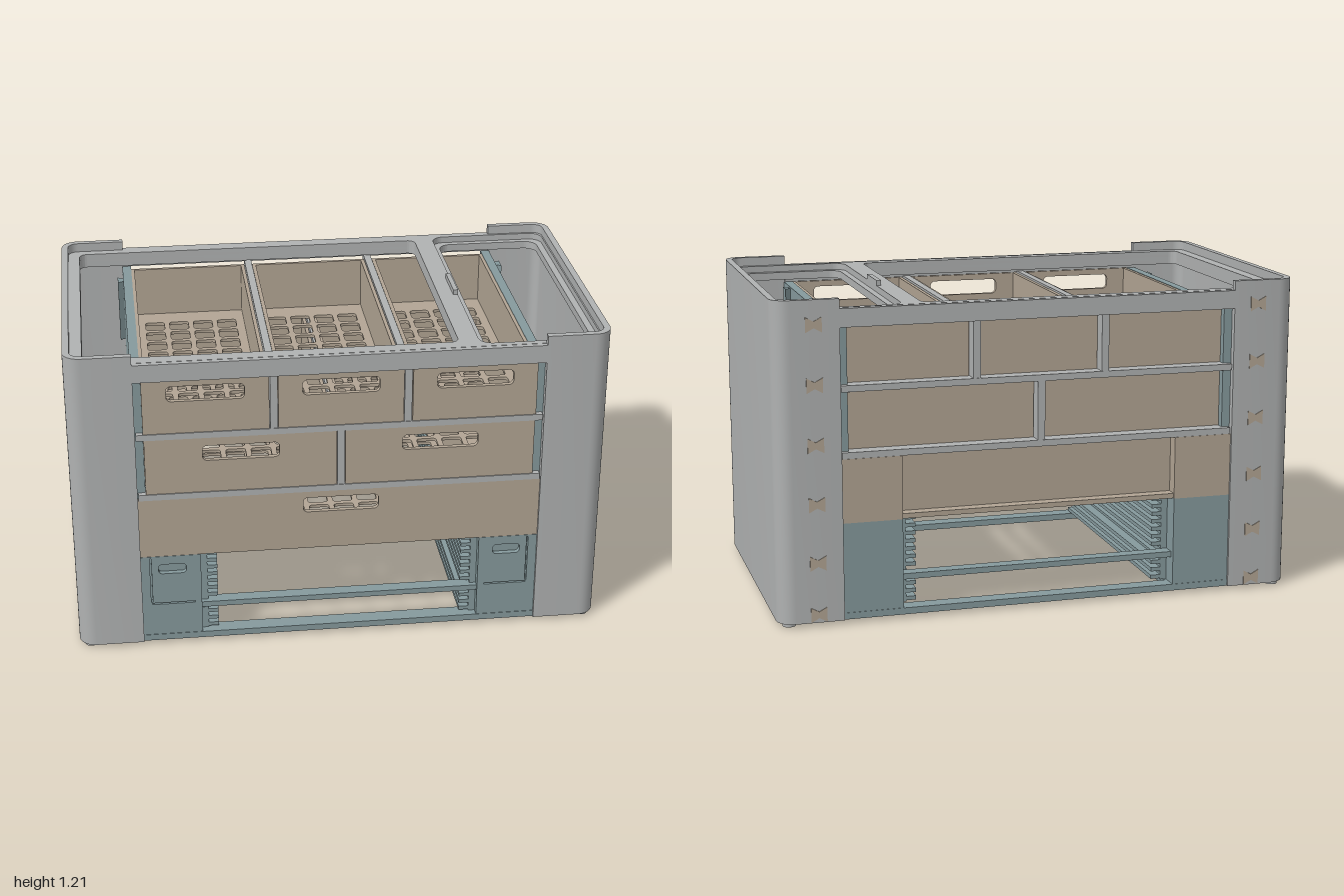
import * as THREE from 'three';
import { toCreasedNormals } from 'three/addons/utils/BufferGeometryUtils.js';

const mat = (name, color) => {
  const m = new THREE.MeshStandardMaterial({ color });
  m.name = name;
  return m;
};

// Rounded rectangle outline, used for shapes and holes
function roundRect(path, x0, x1, y0, y1, r) {
  path.moveTo(x0 + r, y0);
  path.lineTo(x1 - r, y0);
  path.absarc(x1 - r, y0 + r, r, -Math.PI / 2, 0, false);
  path.lineTo(x1, y1 - r);
  path.absarc(x1 - r, y1 - r, r, 0, Math.PI / 2, false);
  path.lineTo(x0 + r, y1);
  path.absarc(x0 + r, y1 - r, r, Math.PI / 2, Math.PI, false);
  path.lineTo(x0, y0 + r);
  path.absarc(x0 + r, y0 + r, r, Math.PI, Math.PI * 1.5, false);
  return path;
}
const rect = (x0, x1, y0, y1) => new THREE.Shape([[x0, y0], [x1, y0], [x1, y1], [x0, y1]].map(p => new THREE.Vector2(...p)));
const hole = (x0, x1, y0, y1, r) => roundRect(new THREE.Path(), x0, x1, y0, y1, r);

export function createModel() {
  const model = new THREE.Group();
  model.name = 'drawerCabinet';
  const grey = mat('shellGrey', 0xb0b2b2);
  const taupe = mat('drawerTaupe', 0xb2a594);
  const teal = mat('panelTeal', 0x869a9d);

  function add(name, geo, m, parent = model) {
    const mesh = new THREE.Mesh(geo, m);
    mesh.name = name;
    parent.add(mesh);
    return mesh;
  }
  function box(name, x0, x1, y0, y1, z0, z1, m, parent) {
    const g = new THREE.BoxGeometry(x1 - x0, y1 - y0, z1 - z0);
    g.translate((x0 + x1) / 2, (y0 + y1) / 2, (z0 + z1) / 2);
    return add(name, g, m, parent);
  }
  // Shape drawn in plan (shape y = -z), raised from y0 to y1
  function plan(name, shape, y0, y1, m, parent, seg = 8) {
    const g = new THREE.ExtrudeGeometry(shape, { depth: y1 - y0, bevelEnabled: false, curveSegments: seg });
    g.rotateX(-Math.PI / 2).translate(0, y0, 0);
    return add(name, toCreasedNormals(g, 0.6), m, parent);
  }
  // Shape drawn in front elevation, deepened from z0 to z1
  function face(name, shape, z0, z1, m, parent) {
    const g = new THREE.ExtrudeGeometry(shape, { depth: z1 - z0, bevelEnabled: false, curveSegments: 5 });
    g.translate(0, 0, z0);
    return add(name, toCreasedNormals(g, 0.6), m, parent);
  }

  // Side shells: thin C-shaped walls with rounded corners, corner floors and feet
  for (const s of [1, -1]) {
    const side = new THREE.Group();
    side.name = s > 0 ? 'leftShell' : 'rightShell';
    model.add(side);
    const c = new THREE.Shape();
    const X = x => s * x;
    const arc = (x, y, r, a0, a1) => {
      for (let i = 0; i <= 8; i++) {
        const a = a0 + (a1 - a0) * i / 8;
        c.lineTo(X(x + r * Math.cos(a)), y + r * Math.sin(a));
      }
    };
    c.moveTo(X(0.755), -0.58);
    arc(0.935, -0.515, 0.065, -Math.PI / 2, 0);
    arc(0.935, 0.515, 0.065, 0, Math.PI / 2);
    c.lineTo(X(0.755), 0.58);
    c.lineTo(X(0.755), 0.555);
    arc(0.935, 0.515, 0.04, Math.PI / 2, 0);
    arc(0.935, -0.515, 0.04, 0, -Math.PI / 2);
    c.lineTo(X(0.755), -0.555);
    plan('shellWall', c, 0.015, 1.21, grey, side);

    const [a, b] = [X(0.755), X(0.985)].sort((p, q) => p - q);
    const [e, f] = [X(0.93), X(0.985)].sort((p, q) => p - q);
    for (const t of [1, -1]) {
      box('shellFloor', a, b, 0.016, 0.035, t > 0 ? 0.315 : -0.545, t > 0 ? 0.545 : -0.315, grey, side);
      const foot = add('foot', new THREE.CylinderGeometry(0.025, 0.025, 0.018, 20), grey, side);
      foot.position.set(X(0.955), 0.009, t * 0.535);
    }
    box('shellFloorEdge', e, f, 0.016, 0.035, -0.32, 0.32, grey, side);

    // Dovetail inlays up the back corner
    for (let i = 0; i < 6; i++) {
      const y = Math.max(1.12 - i * 0.22, 0.045);
      const d = new THREE.Shape([[-0.03, -0.028], [0, -0.012], [0.03, -0.028], [0.03, 0.028], [0, 0.012], [-0.03, 0.028]]
        .map(p => new THREE.Vector2(p[0] + X(0.85), p[1] + y)));
      face('backDovetail', d, -0.583, -0.579, taupe, side);
    }

    // Teal side panel with its joint keys
    const [p0, p1] = [X(0.725), X(0.76)].sort((p, q) => p - q);
    box('sidePanel', p0, p1, 0.018, 1.105, -0.55, 0.55, teal, side);
    for (const z of [-0.415, 0.415]) {
      const k = new THREE.Shape([[0.755, -0.012], [0.782, -0.028], [0.782, 0.028], [0.755, 0.012]]
        .map(p => new THREE.Vector2(X(p[0]), p[1] - z)));
      plan('panelKey', k, 0.85, 1.1, teal, side);
    }

    // Lower block with a small slotted front
    const [l0, l1] = [X(0.53), X(0.756)].sort((p, q) => p - q);
    box('lowerBlock', l0, l1, 0.018, 0.38, -0.57, 0.55, teal, side);
    const front = rect(l0, l1, 0.018, 0.38);
    const [h0, h1] = [X(0.585), X(0.69)].sort((p, q) => p - q);
    front.holes.push(hole(h0, h1, 0.305, 0.345, 0.015));
    const [g0, g1] = [X(0.555), X(0.718)].sort((p, q) => p - q);
    front.holes.push(rect(g0, g1, 0.172, 0.178));
    const [v0, v1] = [X(0.716), X(0.722)].sort((p, q) => p - q);
    front.holes.push(rect(v0, v1, 0.182, 0.372));
    face('lowerBlockFront', front, 0.55, 0.57, teal, side);

    // Slotted runners for trays
    const [r0, r1] = [X(0.505), X(0.532)].sort((p, q) => p - q);
    const [t0, t1] = [X(0.467), X(0.51)].sort((p, q) => p - q);
    box('runnerBack', r0, r1, 0.165, 0.375, -0.5, 0.54, teal, side);
    box('runnerBackLow', r0, r1, 0.04, 0.13, -0.5, 0.54, teal, side);
    for (let i = 0; i < 10; i++) {
      const y = i < 7 ? 0.178 + i * 0.03 : 0.045 + (i - 7) * 0.03;
      box('runnerTooth', t0, t1, y, y + 0.015, -0.5, 0.54, teal, side);
    }

    // Housing beside the bottom tray
    box('trayHousing', l0, l1, 0.38, 0.62, -0.57, 0.55, taupe, side);
    // Side rails under the drawers
    for (const y of [0.875, 0.632]) {
      const [q0, q1] = [X(0.7), X(0.752)].sort((p, q) => p - q);
      box('drawerRail', q0, q1, y - 0.01, y + 0.01, -0.56, 0.56, grey, side);
    }
  }

  // Base frame and cross bars
  const base = rect(-0.757, 0.757, -0.572, 0.572);
  base.holes.push(rect(-0.52, 0.52, -0.51, 0.51));
  plan('baseFrame', base, 0.015, 0.04, teal);
  for (const z of [-0.525, 0.535]) box('crossBar', -0.535, 0.535, 0.143, 0.165, z - 0.025, z + 0.025, teal);

  // Top frame in two layers, the right-hand well having a ledge
  for (const [y0, y1, g] of [[1.15, 1.175, 0.025], [1.12, 1.15, 0]]) {
    const top = roundRect(new THREE.Shape(), -0.98, 0.98, -0.56, 0.56, 0.045);
    top.holes.push(hole(-0.93, 0.44, -0.51, 0.52, 0.03));
    top.holes.push(hole(0.54 - g, 0.945 + g, -0.51 - g, 0.52 + g, 0.05));
    plan('topFrame', top, y0, y1, grey);
  }
  for (const t of [1, -1]) box('topApron', -0.757, 0.757, 1.105, 1.174, t > 0 ? 0.549 : -0.58, t > 0 ? 0.58 : -0.549, grey);
  box('topTab', 0.497, 0.515, 1.17, 1.195, -0.1, 0.07, grey);

  // Shelf bars and dividers
  for (const y of [0.88, 0.633])
    for (const z of [-0.54, 0.54]) box('shelfBar', -0.752, 0.752, y - 0.012, y + 0.012, z - 0.032, z + 0.032, grey);
  for (const x of [-0.247, 0.247]) box('upperDivider', x - 0.014, x + 0.014, 0.88, 1.11, -0.57, 0.57, grey);
  box('middleDivider', -0.014, 0.014, 0.635, 0.88, -0.57, 0.57, grey);

  // Open drawer with perforated floor and slotted front
  function drawer(name, x0, x1, y0, y1, slotY, cols, fx0 = x0, fx1 = x1) {
    const d = new THREE.Group();
    d.name = name;
    model.add(d);
    const cx = (x0 + x1) / 2, w = 0.014;
    const floor = rect(x0, x1, -0.555, 0.52);
    for (let i = 0; i < cols; i++)
      for (let j = 0; j < 10; j++) {
        const x = cx + (i - (cols - 1) / 2) * 0.097, y = 0.375 - j * 0.097;
        floor.holes.push(hole(x - 0.038, x + 0.038, y - 0.038, y + 0.038, 0.012));
      }
    plan('perforatedFloor', floor, y0 + 0.002, y0 + 0.014, taupe, d, 2);
    box('drawerSide', x0, x0 + w, y0, y1, -0.52, 0.556, taupe, d);
    box('drawerSide', x1 - w, x1, y0, y1, -0.52, 0.556, taupe, d);
    box('drawerBack', x0, x1, y0, y1, -0.521, -0.507, taupe, d);
    const front = rect(fx0, fx1, y0, y1);
    front.holes.push(hole(cx - 0.142, cx + 0.142, slotY - 0.03, slotY + 0.03, 0.018));
    face('drawerFront', front, 0.552, 0.57, taupe, d);
  }
  for (const x of [-0.495, 0, 0.495]) drawer('upperDrawer', x - 0.231, x + 0.231, 0.893, 1.103, 1.05, 4);
  for (const x of [-0.37, 0.37]) drawer('middleDrawer', x - 0.354, x + 0.354, 0.646, 0.867, 0.805, 7);
  drawer('bottomDrawer', -0.53, 0.53, 0.381, 0.62, 0.565, 10, -0.756, 0.756);
  box('trayBackLip', -0.53, 0.53, 0.381, 0.4, -0.565, -0.515, taupe);

  return model;
}
